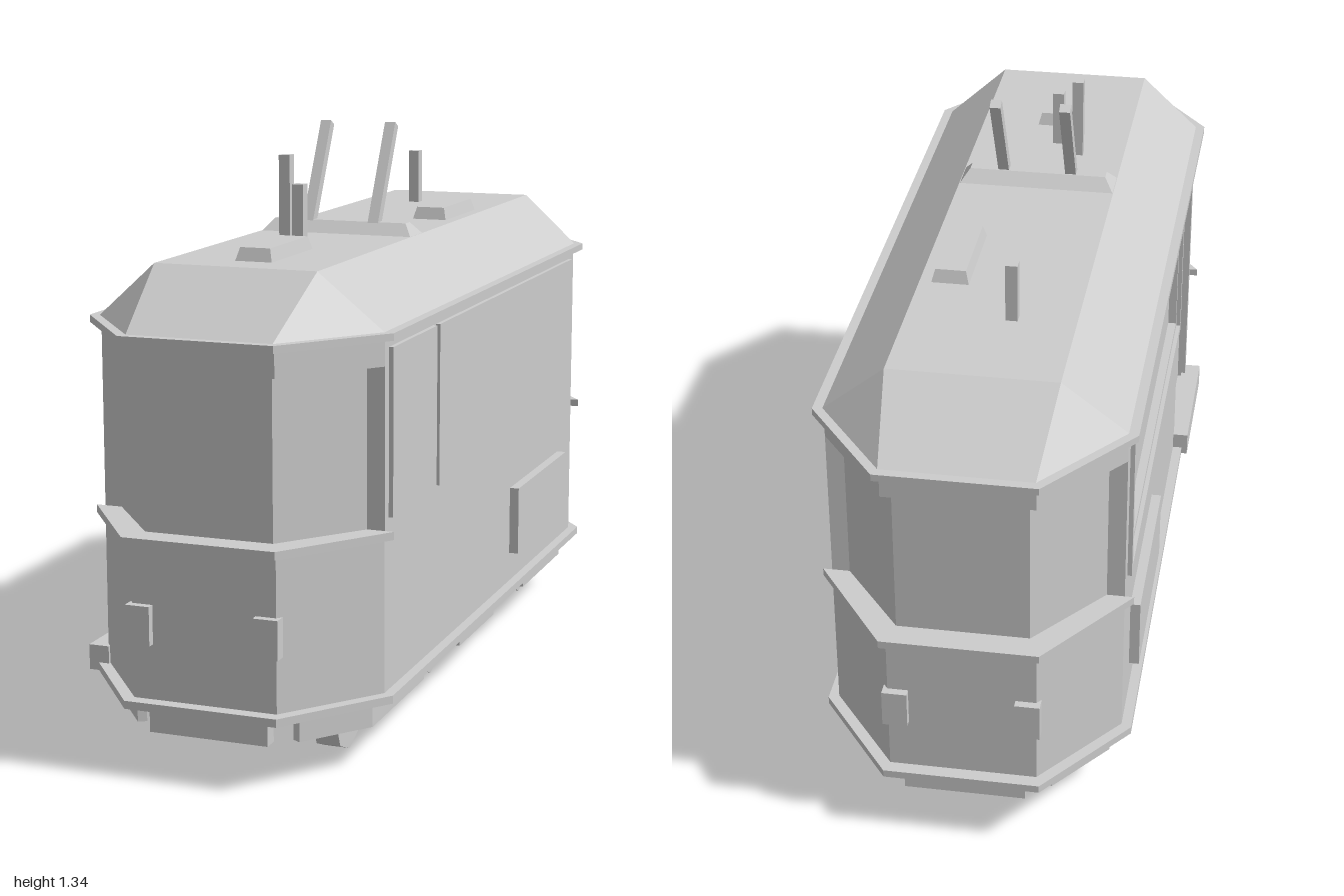
import * as THREE from 'three';
import { ConvexGeometry } from 'three/addons/geometries/ConvexGeometry.js';

const V = (x, y, z) => new THREE.Vector3(x, y, z);

export function createModel() {
  const model = new THREE.Group();
  const tram = new THREE.Group();
  tram.name = 'tram';
  tram.position.x = 0.005;
  model.add(tram);
  const grey = new THREE.MeshStandardMaterial({ color: 0xcccccc });
  grey.name = 'plain grey';

  const add = (name, geo) => {
    const m = new THREE.Mesh(geo, grey);
    m.name = name;
    tram.add(m);
    return m;
  };
  // box from its minimum and maximum along each axis
  const box = (name, x0, x1, y0, y1, z0, z1) => {
    const m = add(name, new THREE.BoxGeometry(Math.abs(x1 - x0), y1 - y0, Math.abs(z1 - z0)));
    m.position.set((x0 + x1) / 2, (y0 + y1) / 2, (z0 + z1) / 2);
    return m;
  };
  // upright prism from a plan outline of [x, z] points
  const prism = (name, pts, y0, y1) => {
    const shape = new THREE.Shape(pts.map(([x, z]) => new THREE.Vector2(x, -z)));
    const geo = new THREE.ExtrudeGeometry(shape, { depth: y1 - y0, bevelEnabled: false });
    geo.rotateX(-Math.PI / 2);
    return add(name, geo.translate(0, y0, 0));
  };
  const octagon = (hw, zc, ew, ze) => [
    [hw, -zc], [hw, zc], [ew, ze], [-ew, ze], [-hw, zc], [-hw, -zc], [-ew, -ze], [ew, -ze]];
  const endPlan = (s, hw, zc, ew, ze) => [[hw, s * zc], [ew, s * ze], [-ew, s * ze], [-hw, s * zc]];
  // side plate with rectangular holes; rectangles are [z0, z1, y0, y1]
  const sidePlate = (name, side, outer, holes, x0, x1) => {
    const trace = (path, [z0, z1, y0, y1]) => {
      const k = -side;
      path.moveTo(k * z0, y0);
      path.lineTo(k * z1, y0);
      path.lineTo(k * z1, y1);
      path.lineTo(k * z0, y1);
      path.closePath();
      return path;
    };
    const shape = trace(new THREE.Shape(), outer);
    holes.forEach((h) => shape.holes.push(trace(new THREE.Path(), h)));
    const geo = new THREE.ExtrudeGeometry(shape, { depth: x1 - x0, bevelEnabled: false });
    geo.rotateY(side * Math.PI / 2);
    add(name, geo.translate(side * x0, 0, 0));
  };
  const inset = ([z0, z1, y0, y1], d) => [z0 + d, z1 - d, y0 + d, y1 - d];

  // body core, floor and eaves
  box('bodyCore', -0.31, 0.31, 0.16, 0.95, -0.76, 0.76);
  prism('floorBand', octagon(0.353, 0.77, 0.175, 1), 0.152, 0.17);
  prism('eavesBand', octagon(0.353, 0.77, 0.175, 1), 0.945, 0.961);

  // side walls with recessed windows, hatch and door
  const frontWindow = [0.44, 0.735, 0.555, 0.925];
  const sides = [
    { side: 1, windows: [frontWindow, [-0.715, 0.42, 0.555, 0.925]], openings: [[0.17, 0.37, 0.268, 0.348]] },
    { side: -1, windows: [[-0.715, 0.39, 0.555, 0.925]], openings: [[0.43, 0.735, 0.2, 0.93]] }];
  for (const { side, windows, openings } of sides) {
    const holes = [...windows.map((w) => inset(w, 0.033)), ...openings];
    sidePlate('sideWall', side, [-0.76, 0.76, 0.16, 0.95], holes, 0.31, 0.33);
    windows.forEach((w) => sidePlate('windowFrame', side, w, [inset(w, 0.018)], 0.328, 0.34));
    box('sidePanel', side * 0.325, side * 0.353, 0.243, 0.412, -0.63, -0.182);
  }
  box('doorStep', -0.368, -0.32, 0.152, 0.21, 0.41, 0.78);

  // angled cab ends
  for (const s of [1, -1]) {
    prism('cabLower', endPlan(s, 0.33, 0.76, 0.165, 0.97), 0.16, 0.52);
    prism('cabGlass', endPlan(s, 0.298, 0.75, 0.147, 0.94), 0.52, 0.9);
    prism('cabHeader', endPlan(s, 0.33, 0.76, 0.165, 0.97), 0.887, 0.95);
    prism('cabSill', endPlan(s, 0.351, 0.76, 0.175, 1), 0.513, 0.531);
    for (const x of [-0.147, 0.147]) {
      box('lamp', x - 0.028, x + 0.028, 0.293, 0.38, s * 0.955, s * 0.988);
    }
  }

  // hipped roof
  const roof = [];
  for (const [x, z] of octagon(0.332, 0.765, 0.165, 0.98)) roof.push(V(x, 0.96, z));
  for (const x of [-0.188, 0.188]) for (const z of [-0.785, 0.785]) roof.push(V(x, 1.085, z));
  add('roof', new ConvexGeometry(roof));

  // tapered roof vents
  for (const [x, z] of [[0.005, 0.575], [0.118, -0.282]]) {
    const pts = [];
    for (const sx of [-1, 1]) for (const sz of [-1, 1]) {
      pts.push(V(x + sx * 0.044, 1.08, z + sz * 0.122), V(x + sx * 0.035, 1.114, z + sz * 0.11));
    }
    add('roofVent', new ConvexGeometry(pts));
  }

  // current collector: wedge base and two leaning poles
  const wedge = [];
  for (const s of [-1, 1]) {
    wedge.push(V(s * 0.188, 1.083, 0.185), V(s * 0.188, 1.083, 0.095),
      V(s * 0.165, 1.113, 0.155), V(s * 0.165, 1.113, 0.125));
  }
  add('collectorBase', new ConvexGeometry(wedge));
  for (const x of [-0.08, 0.084]) {
    const pole = add('collectorPole', new THREE.BoxGeometry(0.026, 0.265, 0.024));
    pole.position.set(x, 1.217, 0.087);
    pole.rotation.x = Math.atan2(-0.12, 0.225);
  }
  for (const [x, z, top] of [[-0.074, 0.307, 1.28], [-0.018, 0.366, 1.22], [-0.045, -0.533, 1.22]]) {
    box('roofPost', x - 0.0135, x + 0.0135, 1.08, top, z - 0.0135, z + 0.0135);
  }

  // skirts below the floor
  for (const s of [-1, 1]) {
    box('sideSkirt', s * 0.285, s * 0.303, 0.122, 0.155, -0.76, 0.76);
    for (const [z0, z1] of [[0.41, 0.76], [-0.14, 0.14], [-0.76, -0.41]]) {
      box('skirtFlap', s * 0.285, s * 0.303, 0.09, 0.123, z0, z1);
    }
    box('endSkirt', -0.137, 0.137, 0.09, 0.155, s * 0.92, s * 0.955);
    for (const t of [-1, 1]) {
      prism('cornerSkirt', [[t * 0.303, s * 0.76], [t * 0.19, s * 0.905],
        [t * 0.172, s * 0.895], [t * 0.285, s * 0.75]], 0.09, 0.155);
    }
  }

  // bogie frames and eight-sided wheels
  const cylinder = (r, length) => {
    const g = new THREE.CylinderGeometry(r, r, length, 8).toNonIndexed();
    g.computeVertexNormals();
    return g.rotateZ(Math.PI / 2);
  };
  const wheel = cylinder(0.082, 0.056);
  const hub = cylinder(0.018, 0.016);
  for (const s of [-1, 1]) {
    for (const e of [-1, 1]) {
      box('bogieFrame', s * 0.125, s * 0.165, 0.035, 0.155, e * 0.02, e * 0.7);
    }
    for (const z of [0.67, 0.41, 0.1, -0.14, -0.41, -0.67]) {
      add('wheel', wheel).position.set(s * 0.188, 0.082, z);
      add('wheelHub', hub).position.set(s * 0.222, 0.082, z);
    }
  }
  return model;
}
